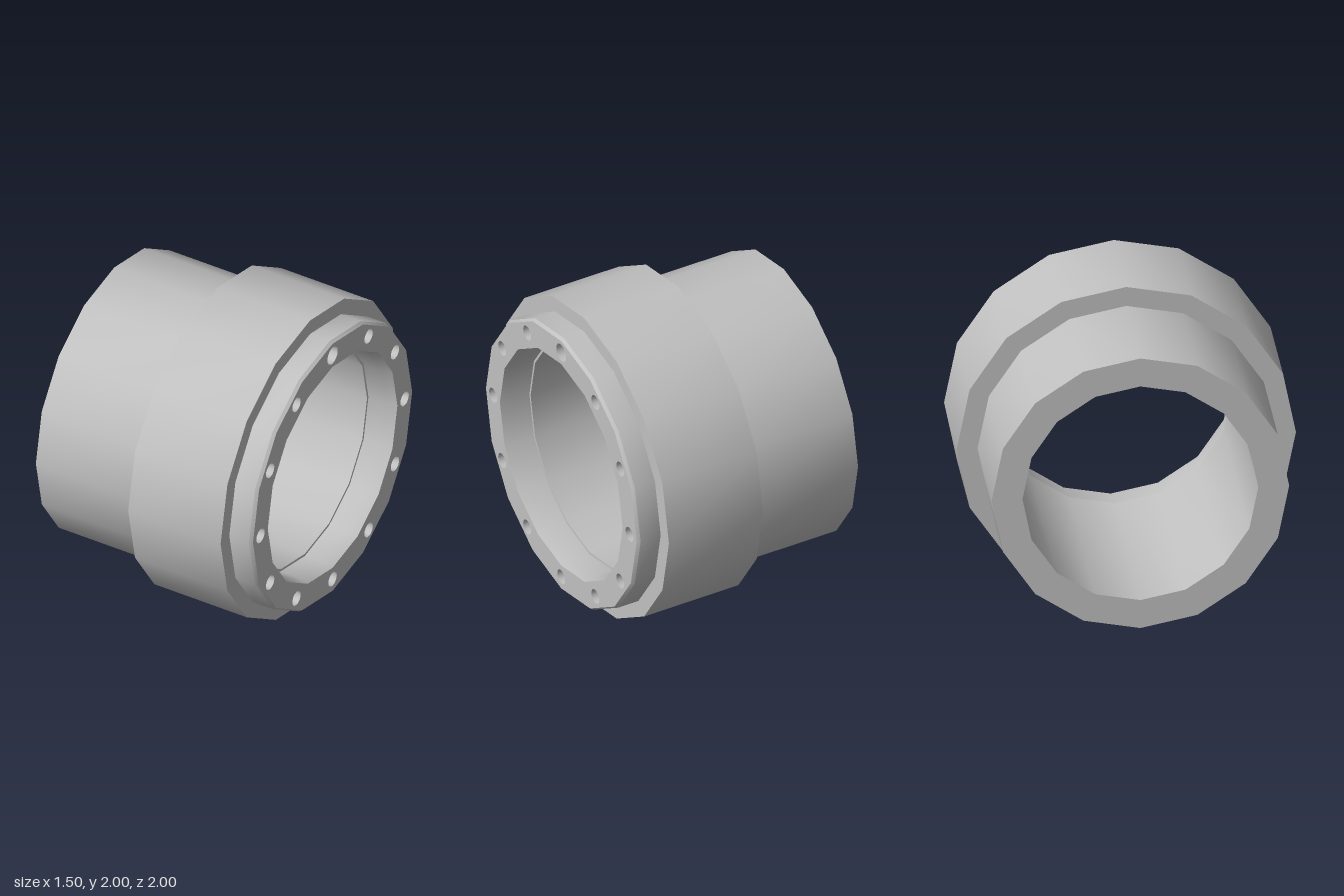
import * as THREE from 'three';
import { toCreasedNormals } from 'three/addons/utils/BufferGeometryUtils.js';

const SIDES = 16;
const END_X = 0.75;
const FACE_OUTER = 0.89;
const FACE_INNER = 0.725;
const BOLT_CIRCLE = 0.806;

// Revolve [radius, x] pairs around the x axis, keeping profile corners sharp
function turned(profile, sides) {
  const points = profile.map(([r, x]) => new THREE.Vector2(r, x));
  const geometry = new THREE.LatheGeometry(points, sides).rotateZ(-Math.PI / 2);
  return toCreasedNormals(geometry, 0.5);
}

function polygonPoints(radius, sides) {
  return Array.from({ length: sides }, (_, i) => {
    const a = (i / sides) * Math.PI * 2;
    return new THREE.Vector2(Math.cos(a) * radius, Math.sin(a) * radius);
  });
}

export function createModel() {
  const model = new THREE.Group();
  model.name = 'flangedSleeve';
  const steel = new THREE.MeshStandardMaterial({ color: 0xc0c0c0 });
  steel.name = 'steelGrey';

  const add = (name, geometry, parent) => {
    const mesh = new THREE.Mesh(geometry, steel);
    mesh.name = name;
    parent.add(mesh);
    return mesh;
  };

  const assembly = new THREE.Group();
  assembly.name = 'sleeve';
  assembly.position.y = 1;
  model.add(assembly);

  // Bore from mouth to back, rear face, then the stepped outside
  add('bore', turned([
    [FACE_INNER, END_X], [0.71, 0.69], [0.71, 0.56], [0.695, 0.56], [0.695, -0.75],
  ], SIDES), assembly);
  add('outerBody', turned([
    [0.695, -0.75], [0.877, -0.75], [0.877, -0.04], [1, -0.04],
    [1, 0.595], [0.903, 0.595], [0.903, 0.73], [FACE_OUTER, END_X],
  ], SIDES), assembly);

  // Flat end face, pierced by twelve bolt holes; the top one is larger
  const face = new THREE.Shape(polygonPoints(FACE_OUTER, SIDES));
  face.holes.push(new THREE.Path(polygonPoints(FACE_INNER, SIDES)));

  const holes = new THREE.Group();
  holes.name = 'boltHoles';
  assembly.add(holes);
  for (let i = 0; i < 12; i++) {
    const a = (i / 12) * Math.PI * 2;
    const u = Math.sin(a) * BOLT_CIRCLE;
    const v = Math.cos(a) * BOLT_CIRCLE;
    const r = i === 0 ? 0.058 : 0.047;
    const rim = polygonPoints(r, SIDES).map((p) => p.add(new THREE.Vector2(u, v)));
    face.holes.push(new THREE.Path(rim));

    // Blind drilled hole with a conical bottom
    const hole = add('boltHole', turned([
      [r, END_X], [r, END_X - 0.14], [0, END_X - 0.17],
    ], SIDES), holes);
    hole.position.set(0, v, -u);
  }
  const faceGeometry = new THREE.ShapeGeometry(face).rotateY(Math.PI / 2);
  add('endFace', faceGeometry.translate(END_X, 0, 0), assembly);

  return model;
}
